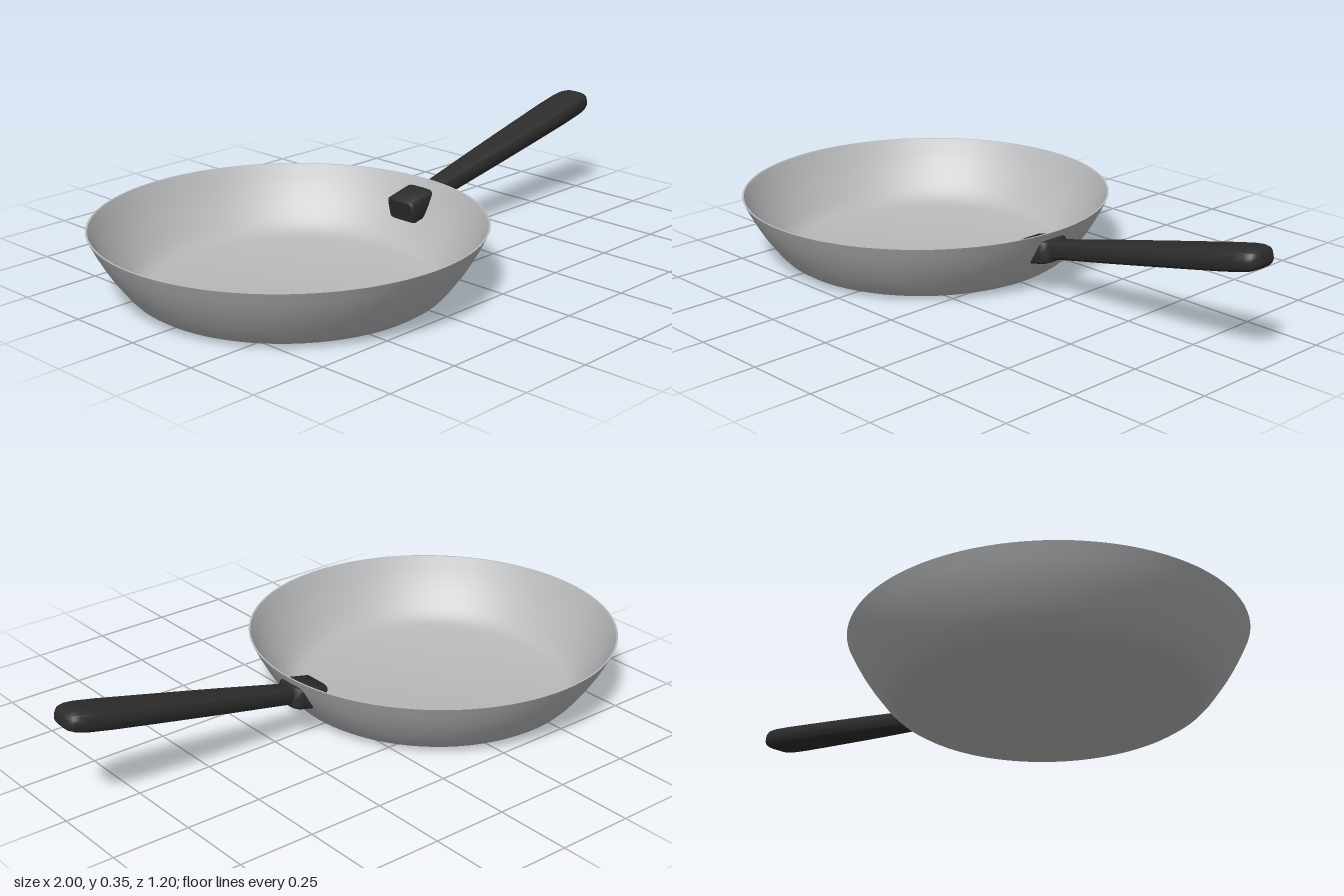
import * as THREE from 'three';
import { toCreasedNormals } from 'three/addons/utils/BufferGeometryUtils.js';

const steel = new THREE.MeshStandardMaterial({ color: 0xb8b9bb });
steel.name = 'steel grey';
const black = new THREE.MeshStandardMaterial({ color: 0x2c2c2d });
black.name = 'handle black';

// Loft along +x through rounded-rectangle sections [x, halfHeight, halfWidth, centreY]
function loft(sections, power, sides = 32) {
  const pos = [], idx = [];
  const bend = (v) => Math.sign(v) * Math.pow(Math.abs(v), power);
  for (const [x, h, w, cy = 0] of sections) {
    for (let i = 0; i < sides; i++) {
      const a = (i / sides) * Math.PI * 2;
      pos.push(x, cy + h * bend(Math.cos(a)), w * bend(Math.sin(a)));
    }
  }
  for (let s = 0; s < sections.length - 1; s++) {
    for (let i = 0; i < sides; i++) {
      const a = s * sides + i, b = s * sides + ((i + 1) % sides);
      idx.push(a, b, a + sides, b, b + sides, a + sides);
    }
  }
  // End caps
  const last = (sections.length - 1) * sides;
  for (let i = 1; i < sides - 1; i++) {
    idx.push(0, i + 1, i, last, last + i, last + i + 1);
  }
  const g = new THREE.BufferGeometry();
  g.setAttribute('position', new THREE.Float32BufferAttribute(pos, 3));
  g.setIndex(idx);
  // Corners wound so that faces point outwards
  const arr = g.index.array;
  for (let i = 0; i < arr.length; i += 3) [arr[i + 1], arr[i + 2]] = [arr[i + 2], arr[i + 1]];
  const p = g.attributes.position;
  const [A, B, C] = [0, 1, 2].map((k) => new THREE.Vector3().fromBufferAttribute(p, arr[k]));
  const n = B.clone().sub(A).cross(C.clone().sub(A));
  if (n.y < 0) for (let i = 0; i < arr.length; i += 3) [arr[i + 1], arr[i + 2]] = [arr[i + 2], arr[i + 1]];
  return toCreasedNormals(g, 0.7);
}

export function createModel() {
  const model = new THREE.Group();
  model.name = 'fryingPan';

  // Thin bowl: outer wall up, over the rim, inner wall down
  const profile = [
    [0, 0], [0.44, 0], [0.457, 0.007], [0.478, 0.021], [0.497, 0.041], [0.517, 0.068], [0.54, 0.1],
    [0.563, 0.137], [0.582, 0.172], [0.6, 0.209], [0.594, 0.209],
    [0.576, 0.172], [0.557, 0.137], [0.534, 0.101], [0.511, 0.07],
    [0.491, 0.045], [0.472, 0.026], [0.452, 0.013], [0.43, 0.007], [0, 0.007],
  ].map(([r, y]) => new THREE.Vector2(r, y));
  const bowl = new THREE.Mesh(toCreasedNormals(new THREE.LatheGeometry(profile, 96), 0.45), steel);
  bowl.name = 'bowl';
  bowl.position.x = -0.4;
  model.add(bowl);

  // Tilted handle, with its origin at the wall of the bowl
  const handle = new THREE.Group();
  handle.name = 'handle';
  handle.position.set(0.19, 0.148, 0);
  handle.rotation.z = 0.221;
  model.add(handle);

  // Grip swelling towards a rounded end
  const grip = new THREE.Mesh(loft([
    [-0.03, 0.029, 0.036], [0.04, 0.029, 0.036], [0.12, 0.03, 0.04], [0.25, 0.032, 0.046],
    [0.4, 0.033, 0.053], [0.55, 0.034, 0.059], [0.68, 0.035, 0.063], [0.755, 0.035, 0.062],
    [0.79, 0.033, 0.057], [0.81, 0.028, 0.049], [0.82, 0.02, 0.038], [0.824, 0.01, 0.02],
  ], 0.6), black);
  grip.name = 'grip';
  handle.add(grip);

  // Mounting block passing through the wall
  const block = new THREE.Mesh(loft([
    [-0.107, 0.033, 0.05], [-0.1, 0.038, 0.056], [-0.01, 0.038, 0.056],
    [0.006, 0.035, 0.05], [0.014, 0.029, 0.038],
  ], 0.3), black);
  block.name = 'mountingBlock';
  handle.add(block);

  return model;
}
